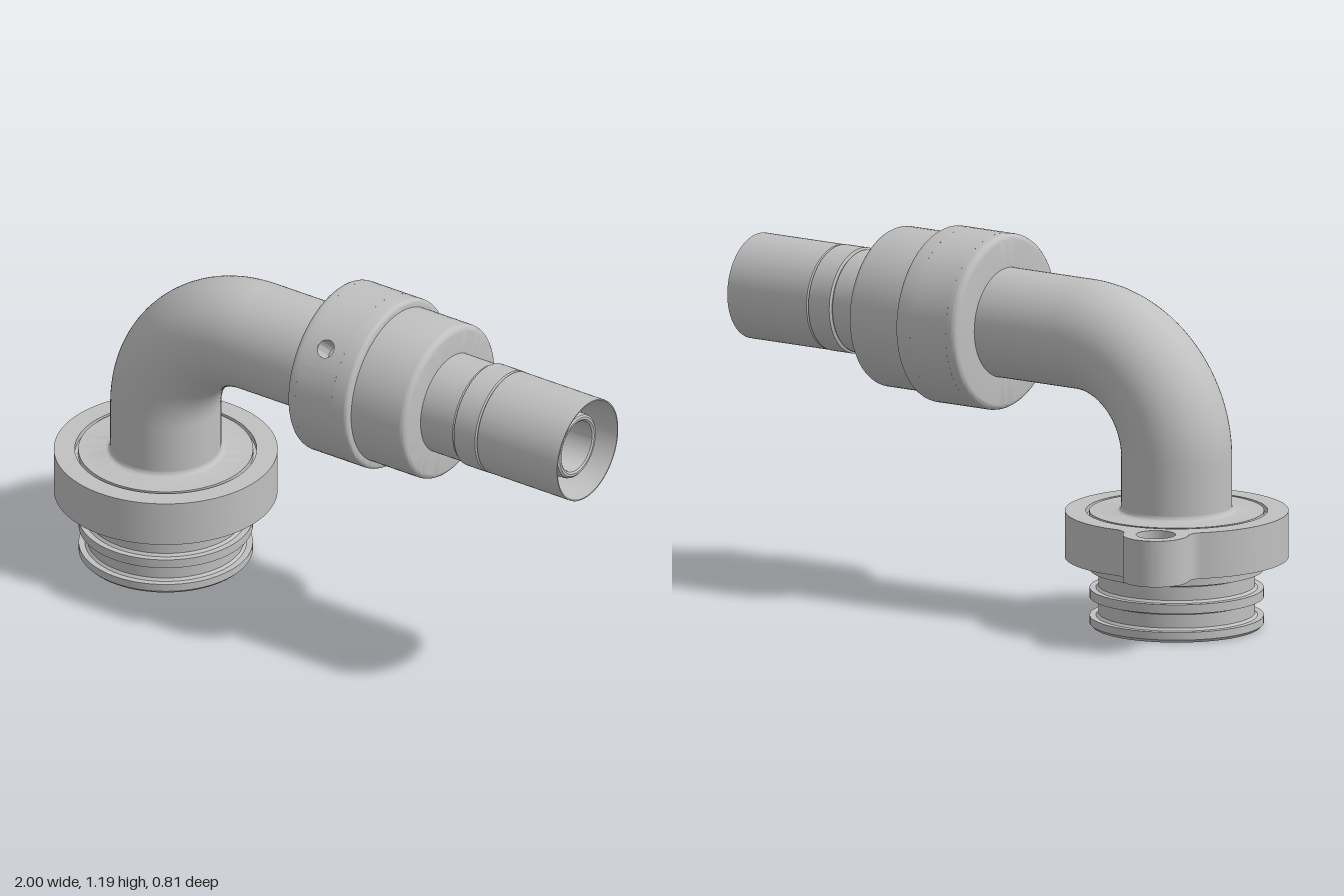
import * as THREE from 'three';
import { toCreasedNormals } from 'three/addons/utils/BufferGeometryUtils.js';

const grey = new THREE.MeshStandardMaterial({ color: 0xc0c0c0, side: THREE.DoubleSide });
grey.name = 'grey metal';

const AX = -0.643; // x of the upright axis
const AY = 0.905;  // y of the level axis

function add(parent, name, geometry) {
  const mesh = new THREE.Mesh(geometry, grey);
  mesh.name = name;
  parent.add(mesh);
  return mesh;
}

// Turned part from [radius, height] pairs, with sharp edges kept
function turned(profile, start = 0, sweep = Math.PI * 2, segments = 72) {
  const points = profile.map(([r, h]) => new THREE.Vector2(r, h));
  return toCreasedNormals(new THREE.LatheGeometry(points, segments, start, sweep), 0.6);
}

// Quarter-round corner about (r, h), from angle a0 to a1
function round(r, h, radius, a0, a1) {
  return Array.from({ length: 6 }, (_, i) => {
    const a = a0 + (a1 - a0) * i / 5;
    return [r + radius * Math.cos(a), h + radius * Math.sin(a)];
  });
}

// Same turned part laid along the x axis
const turnedX = (...args) => turned(...args).rotateZ(-Math.PI / 2).translate(0, AY, 0);

// Seal groove between two heights, with softened bottom corners
const groove = (y0, y1) => [
  [0.278, y0], [0.258, y0], [0.25, y0 + 0.008],
  [0.25, y1 - 0.008], [0.258, y1], [0.278, y1],
];

// Ninety-degree elbow path
function elbowPath(y0, x1) {
  const R = 0.36, k = R * 0.4477;
  const v = (x, y) => new THREE.Vector3(x, y, 0);
  const path = new THREE.CurvePath();
  path.add(new THREE.LineCurve3(v(AX, y0), v(AX, AY - R)));
  path.add(new THREE.CubicBezierCurve3(v(AX, AY - R), v(AX, AY - k), v(AX + k, AY), v(AX + R, AY)));
  path.add(new THREE.LineCurve3(v(AX + R, AY), v(x1, AY)));
  return path;
}

// Flat ring with a drilled lug blended in by fillets
function clampGeometry() {
  const R = 0.357, r = 0.105, f = 0.055, d = 0.383;
  const a = R + f, b = r + f;
  const A = Math.acos((a * a + d * d - b * b) / (2 * a * d));
  const cx = a * Math.cos(A), cy = a * Math.sin(A);
  const B = Math.atan2(cy, d - cx);
  const shape = new THREE.Shape();
  shape.absarc(0, 0, R, A, 2 * Math.PI - A, false);
  shape.absarc(cx, -cy, f, Math.PI - A, B, true);
  shape.absarc(d, 0, r, B - Math.PI, Math.PI - B, false);
  shape.absarc(cx, cy, f, -B, A - Math.PI, true);
  for (const [x, radius] of [[0, 0.29], [d, 0.063]]) {
    shape.holes.push(new THREE.Path().absarc(x, 0, radius, 0, Math.PI * 2, true));
  }
  const geometry = new THREE.ExtrudeGeometry(shape, { depth: 0.15, bevelEnabled: false, curveSegments: 48 });
  geometry.rotateX(-Math.PI / 2).rotateY(2.02).translate(AX, 0.225, 0);
  return toCreasedNormals(geometry, 0.6);
}

// Curved square patch of the collar with a round hole in it
function holePatch(radius, x, phi, half, hole) {
  const around = 48, rings = 4, positions = [], index = [];
  for (let j = 0; j <= rings; j++) {
    for (let i = 0; i <= around; i++) {
      const t = i / around * Math.PI * 2, c = Math.cos(t), s = Math.sin(t);
      const edge = half / Math.max(Math.abs(c), Math.abs(s));
      const q = hole + (edge - hole) * j / rings;
      const p = phi + q * s / radius;
      positions.push(x + q * c, AY - radius * Math.sin(p), radius * Math.cos(p));
      if (j < rings && i < around) {
        const n = j * (around + 1) + i, m = n + around + 1;
        // wound to face outwards
        index.push(n, n + 1, m, n + 1, m + 1, m);
      }
    }
  }
  const geometry = new THREE.BufferGeometry();
  geometry.setAttribute('position', new THREE.Float32BufferAttribute(positions, 3));
  // phi grows downwards, which already mirrors the patch
  geometry.setIndex(index);
  geometry.computeVertexNormals();
  return geometry;
}

export function createModel() {
  const model = new THREE.Group();
  model.name = 'elbowFitting';
  const body = new THREE.Group();
  body.name = 'fittingBody';
  body.position.z = 0.045;
  model.add(body);

  // Plug end with two seal grooves, hollow inside
  add(body, 'grooveSpigot', turned([
    [0.155, 0.36], [0.228, 0.3], [0.228, 0], [0.268, 0], [0.278, 0.01],
    ...groove(0.035, 0.095), ...groove(0.125, 0.185),
    [0.278, 0.23], [0.292, 0.23], [0.292, 0.355], [0.279, 0.355], [0.279, 0.375],
    ...round(0.193, 0.391, 0.016, -Math.PI / 2, -Math.PI),
  ]).translate(AX, 0, 0));
  add(body, 'lugClampRing', clampGeometry());

  // Bent pipe
  add(body, 'elbowPipe', new THREE.TubeGeometry(elbowPath(0.375, 0.1), 96, 0.177, 64));
  add(body, 'elbowBore', new THREE.TubeGeometry(elbowPath(0.36, 0.46), 96, 0.155, 48));

  // Stepped collar: front and rear, with a drilled band between
  const H = Math.PI / 2, r1 = 0.284, r2 = 0.258, phi = -0.72, half = 0.07, holeX = 0.13;
  add(body, 'collarBack', turnedX([
    [0.17, 0.025], ...round(r1 - 0.02, 0.045, 0.02, -H, 0), [r1, holeX - half],
  ]));
  add(body, 'collarFront', turnedX([
    [r1, holeX + half], ...round(r1 - 0.014, 0.246, 0.014, 0, H), [r2, 0.26],
    ...round(r2 - 0.02, 0.445, 0.02, 0, H), [0.16, 0.465],
  ]));
  const gap = half / r1;
  add(body, 'collarBand', turnedX([[r1, holeX - half], [r1, holeX + half]], phi + gap, 2 * Math.PI - 2 * gap));
  add(body, 'collarHolePatch', holePatch(r1, holeX, phi, half, 0.03));
  add(body, 'collarHole', turned([[0.03, 0.283], [0.03, 0.2], [0, 0.2]], 0, Math.PI * 2, 32)
    .rotateX(H + phi).translate(holeX, AY, 0));

  // Hose sleeve with score lines, cupped end and inner nozzle
  add(body, 'hoseSleeve', turnedX([
    [0.083, 0.46], [0.165, 0.46], [0.165, 0.59], [0.161, 0.595], [0.171, 0.599],
    [0.171, 0.681], [0.165, 0.685], [0.17, 0.689], [0.17, 1], [0.166, 1],
    [0.154, 0.87], [0.108, 0.87],
    ...round(0.0955, 0.95, 0.0125, 0, Math.PI), [0.083, 0.46],
  ]));
  return model;
}
